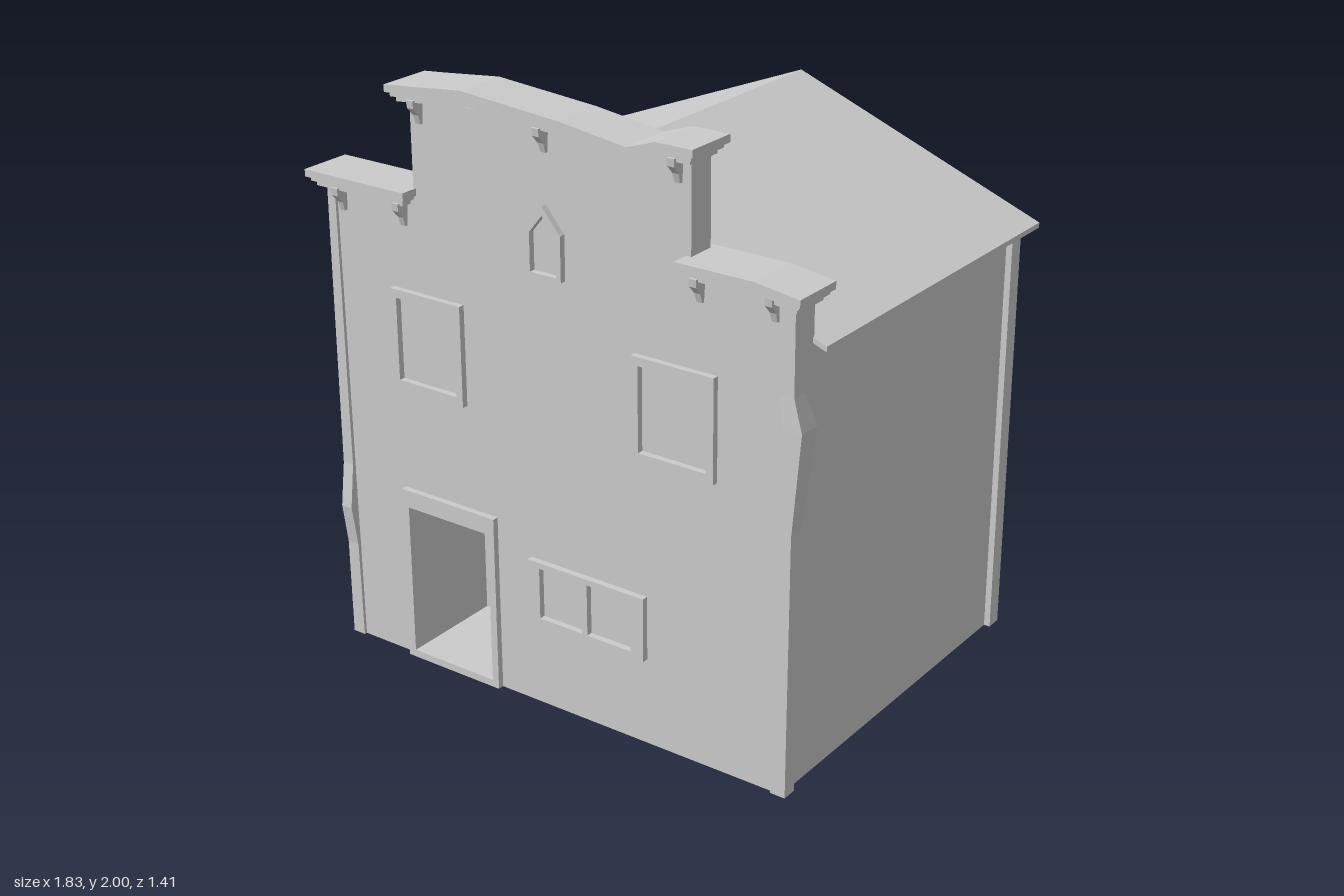
import * as THREE from 'three';

const mat = new THREE.MeshStandardMaterial({ color: 0xcccccc, flatShading: true, side: THREE.DoubleSide });

export function createModel() {
  const root = new THREE.Group();
  const add = (name, geo) => {
    const m = new THREE.Mesh(geo, mat);
    m.name = name;
    root.add(m);
    return m;
  };
  const box = (name, x0, x1, y0, y1, z0, z1) =>
    add(name, new THREE.BoxGeometry(x1 - x0, y1 - y0, z1 - z0)
      .translate((x0 + x1) / 2, (y0 + y1) / 2, (z0 + z1) / 2));
  const poly = (pts) => pts.map(([x, y]) => new THREE.Vector2(x, y));
  const rect = (x0, x1, y0, y1) => [[x0, y0], [x1, y0], [x1, y1], [x0, y1]];
  // Outline in the x-y plane, with holes, extruded from z0 to z1
  const slab = (name, pts, z0, z1, holes = []) => {
    const shape = new THREE.Shape(poly(pts));
    for (const h of holes) shape.holes.push(new THREE.Path(poly(h)));
    return add(name, new THREE.ExtrudeGeometry(shape, { depth: z1 - z0, bevelEnabled: false }).translate(0, 0, z0));
  };
  // Post through rectangular sections [y, x0, x1, z0, z1]
  const post = (name, rows) => {
    const n = rows.length - 1;
    const g = new THREE.BoxGeometry(1, 1, 1, 1, n, 1);
    const p = g.attributes.position;
    for (let i = 0; i < p.count; i++) {
      const [y, x0, x1, z0, z1] = rows[Math.round((p.getY(i) + 0.5) * n)];
      p.setXYZ(i, p.getX(i) < 0 ? x0 : x1, y, p.getZ(i) < 0 ? z0 : z1);
    }
    g.computeVertexNormals();
    return add(name, g);
  };

  // Front wall with the doorway cut out, and the stepped parapet above
  const wallZ = 0.645;
  const door = rect(-0.585, -0.255, 0.025, 0.55);
  slab('frontWall', rect(-0.84, 0.83, 0, 1.42), wallZ - 0.015, wallZ, [door]);
  slab('parapet', [
    [-0.865, 1.42], [0.86, 1.42], [0.86, 1.6], [0.51, 1.6], [0.51, 1.93], [0.42, 1.93],
    [0.33, 1.905], [0.07, 1.93], [-0.52, 1.93], [-0.52, 1.6], [-0.865, 1.6],
  ], 0.55, wallZ);

  // Side and back walls, open underneath
  for (const s of [-1, 1]) {
    const x = s * 0.837;
    box('sideWall', x - 0.005, x + 0.005, 0, 1.435, -0.645, 0.64);
  }
  slab('backWall', [[-0.84, 0], [0.84, 0], [0.84, 1.435], [0, 1.765], [-0.84, 1.435]], -0.65, -0.64);

  // Gable roof
  slab('roof', [
    [-0.905, 1.415], [0, 1.765], [0.905, 1.415], [0.905, 1.432], [0, 1.785], [-0.905, 1.432],
  ], -0.71, 0.555);

  // Corner posts, the front pair with weathered bulges
  post('frontPostLeft', [
    [0, 0.81, 0.862, 0.603, 0.655], [0.87, 0.81, 0.865, 0.603, 0.655],
    [1.2, 0.83, 0.895, 0.575, 0.657], [1.3, 0.82, 0.866, 0.6, 0.655],
    [1.59, 0.81, 0.865, 0.605, 0.655],
  ]);
  post('frontPostRight', [
    [0, -0.872, -0.825, 0.603, 0.655], [0.34, -0.872, -0.828, 0.603, 0.657],
    [0.48, -0.872, -0.83, 0.615, 0.677], [0.63, -0.872, -0.831, 0.605, 0.657],
    [1.59, -0.872, -0.84, 0.605, 0.655],
  ]);
  for (const s of [-1, 1]) {
    const x = s * 0.837;
    box('backPost', x - 0.026, x + 0.026, 0, 1.43, -0.67, -0.615);
  }

  // Cornices in three stepped layers under a top line
  const cornice = (name, top) => {
    const a = top[0][0], b = top[top.length - 1][0], mid = (a + b) / 2;
    [[0, 0.024, 0], [0.024, 0.038, 0.012], [0.038, 0.054, 0.025]].forEach(([d0, d1, inset]) => {
      const k = 1 - (2 * inset) / (b - a);
      const line = top.map(([x, y]) => [mid + (x - mid) * k, y]);
      const upper = line.map(([x, y]) => [x, y - d0]);
      const lower = line.map(([x, y]) => [x, y - d1]).reverse();
      slab(name, [...upper, ...lower], 0.523 + inset, 0.705 - inset);
    });
  };
  cornice('upperCornice', [[-0.565, 1.97], [-0.48, 1.978], [-0.27, 2], [0.09, 1.972], [0.33, 1.94], [0.43, 1.973], [0.555, 1.973]]);
  cornice('sideCorniceRight', [[-0.915, 1.64], [-0.51, 1.64]]);
  cornice('sideCorniceLeft', [[0.492, 1.638], [0.76, 1.638], [0.91, 1.618]]);

  // Tapered brackets below the cornices
  const bracket = (x, y) => post('bracket', [
    [y - 0.075, x - 0.009, x + 0.009, 0.64, 0.655],
    [y - 0.045, x - 0.011, x + 0.011, 0.64, 0.665],
    [y - 0.02, x - 0.012, x + 0.012, 0.64, 0.687],
    [y + 0.005, x - 0.013, x + 0.013, 0.64, 0.69],
  ]);
  for (const x of [-0.48, -0.005, 0.47]) bracket(x, 1.925);
  for (const x of [-0.81, -0.56, 0.545, 0.797]) bracket(x, 1.588);

  // Window and door frames
  const frame = (name, outer, ...holes) => slab(name, outer, wallZ - 0.02, 0.666, holes);
  frame('upperWindowFrame', rect(-0.617, -0.337, 0.965, 1.3), rect(-0.595, -0.362, 0.995, 1.272));
  frame('upperWindowFrame', rect(0.312, 0.603, 0.965, 1.3), rect(0.336, 0.578, 0.995, 1.272));
  frame('lowerWindowFrame', rect(-0.095, 0.35, 0.297, 0.513),
    rect(-0.05, 0.115, 0.318, 0.493), rect(0.136, 0.302, 0.318, 0.493));
  frame('doorFrame', rect(-0.612, -0.23, 0, 0.61), door);
  const house = (x0, x1, y0, y1, y2) => [[x0, y0], [x1, y0], [x1, y1], [(x0 + x1) / 2, y2], [x0, y1]];
  frame('gableWindowFrame', house(-0.073, 0.06, 1.465, 1.61, 1.69), house(-0.055, 0.042, 1.477, 1.6, 1.66));

  // Recessed entry behind the doorway
  const back = 0.3;
  box('entryFloor', -0.59, -0.25, 0.015, 0.025, back, 0.64);
  box('entryCeiling', -0.59, -0.25, 0.55, 0.56, back, 0.64);
  box('entryBack', -0.59, -0.25, 0.015, 0.56, back - 0.005, back);
  box('entrySide', -0.592, -0.585, 0.015, 0.56, back, 0.64);
  box('entrySide', -0.255, -0.248, 0.015, 0.56, back, 0.64);

  return root;
}
